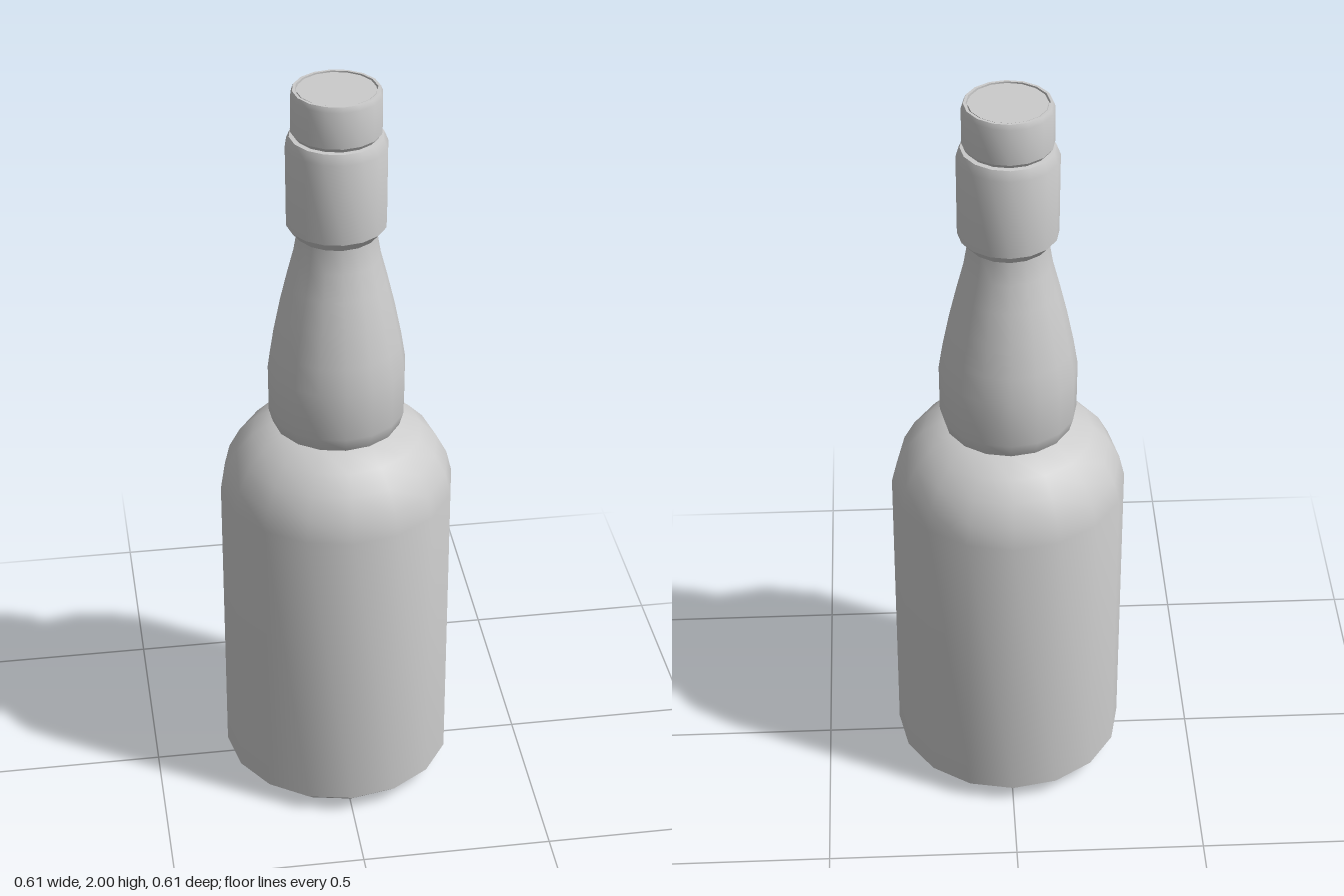
import * as THREE from 'three';
import { toCreasedNormals } from 'three/addons/utils/BufferGeometryUtils.js';

const SIDES = 16;

export function createModel() {
  const bottle = new THREE.Group();
  bottle.name = 'bottle';
  const material = new THREE.MeshStandardMaterial({ color: 0xcccccc });

  // Revolve a profile of [radius, height] points, listed from bottom to top
  function turned(name, profile) {
    const points = profile.map(([r, y]) => new THREE.Vector2(r, y));
    const geometry = toCreasedNormals(new THREE.LatheGeometry(points, SIDES), 0.56);
    const mesh = new THREE.Mesh(geometry, material);
    mesh.name = name;
    bottle.add(mesh);
  }

  // Body with bevelled base and rounded shoulder
  turned('body', [
    [0, 0], [0.235, 0], [0.265, 0.012], [0.305, 0.048], [0.305, 0.88],
    [0.291, 0.938], [0.262, 0.993], [0.22, 1.037], [0.165, 1.072], [0.1, 1.085],
  ]);

  // Neck with a swelling at its foot
  turned('neck', [
    [0.155, 1.06], [0.166, 1.075], [0.176, 1.11], [0.177, 1.24], [0.166, 1.31],
    [0.148, 1.4], [0.129, 1.48], [0.111, 1.55], [0.1, 1.615], [0.1, 1.64],
  ]);

  // Thick collar around the top of the neck
  turned('collar', [
    [0.09, 1.612], [0.104, 1.614], [0.126, 1.64], [0.127, 1.855],
    [0.117, 1.88], [0.09, 1.882],
  ]);

  // Cap with a fine groove around its top disc
  turned('cap', [
    [0.1, 1.87], [0.105, 1.882], [0.113, 1.892], [0.113, 1.987], [0.108, 2],
    [0.101, 2], [0.101, 1.99], [0.097, 1.99], [0.097, 1.998], [0, 1.998],
  ]);

  return bottle;
}
